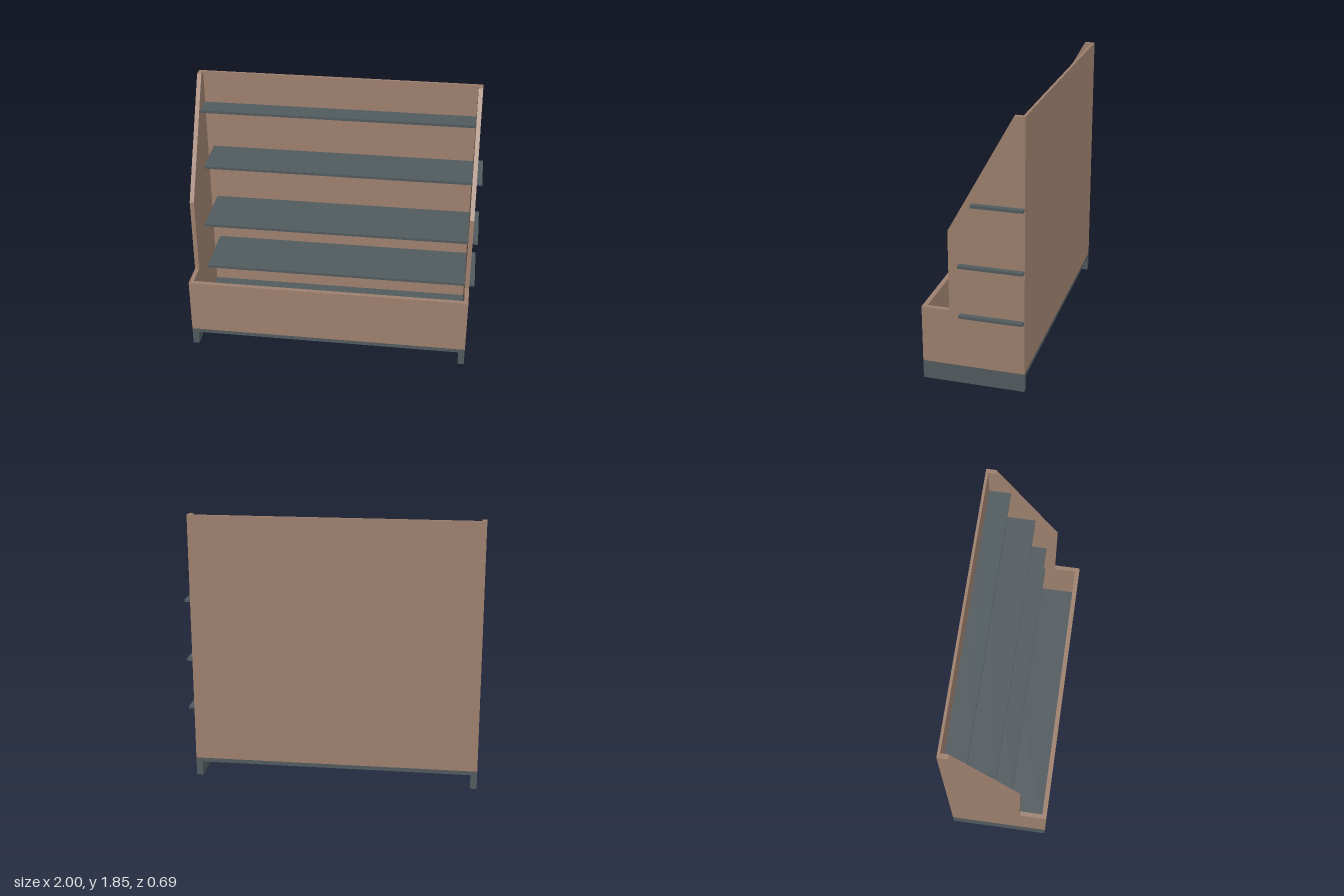
import * as THREE from 'three';

export function createModel() {
  const group = new THREE.Group();
  const wood = new THREE.MeshStandardMaterial({ color: 0xa08270 });
  wood.name = 'brown panel';
  const metal = new THREE.MeshStandardMaterial({ color: 0x535c60 });
  metal.name = 'slate grey';

  const add = (name, geometry, material) => {
    const mesh = new THREE.Mesh(geometry, material);
    mesh.name = name;
    group.add(mesh);
    return mesh;
  };
  // Box given by its minimum and maximum on each axis
  const box = (name, material, [x0, x1], [y0, y1], [z0, z1]) =>
    add(name, new THREE.BoxGeometry(x1 - x0, y1 - y0, z1 - z0), material)
      .position.set((x0 + x1) / 2, (y0 + y1) / 2, (z0 + z1) / 2);

  const back = -0.344, front = 0.344;
  const left = 0.962, right = -1, wall = 0.03;

  // Base plate on two runners
  box('basePlate', metal, [right, left], [0.1, 0.128], [back, front]);
  box('rightRunner', metal, [right, right + 0.045], [0, 0.1], [back, front]);
  box('leftRunner', metal, [left - 0.045, left], [0, 0.1], [back, front]);

  // Stepped and sloped side panels, profile drawn as (z, y)
  const profile = new THREE.Shape([
    [back, 0.128], [front, 0.128], [front, 0.522], [0.155, 0.522],
    [0.155, 1.072], [-0.276, 1.85], [back, 1.85],
  ].map(([z, y]) => new THREE.Vector2(z, y)));
  const sideGeometry = new THREE.ExtrudeGeometry(profile, { depth: wall, bevelEnabled: false });
  sideGeometry.rotateY(-Math.PI / 2);
  add('rightSidePanel', sideGeometry, wood).position.x = right + wall;
  add('leftSidePanel', sideGeometry, wood).position.x = left;

  // Back panel and low front panel between the sides
  const inside = [right + wall, left - wall];
  box('backPanel', wood, inside, [0.128, 1.85], [back, -0.326]);
  box('frontPanel', wood, inside, [0.128, 0.522], [0.312, front]);

  // Shelves: the lower three are shifted and pass through the left side panel
  const shelves = [
    [0.5, 0.083, [-0.925, 1]],
    [0.849, 0.083, [-0.925, 1]],
    [1.265, -0.006, [-0.925, 1]],
    [1.61, -0.178, inside],
  ];
  shelves.forEach(([y, z, span], i) =>
    box(`shelf${i + 1}`, metal, span, [y - 0.009, y + 0.009], [-0.341, z]));

  return group;
}
